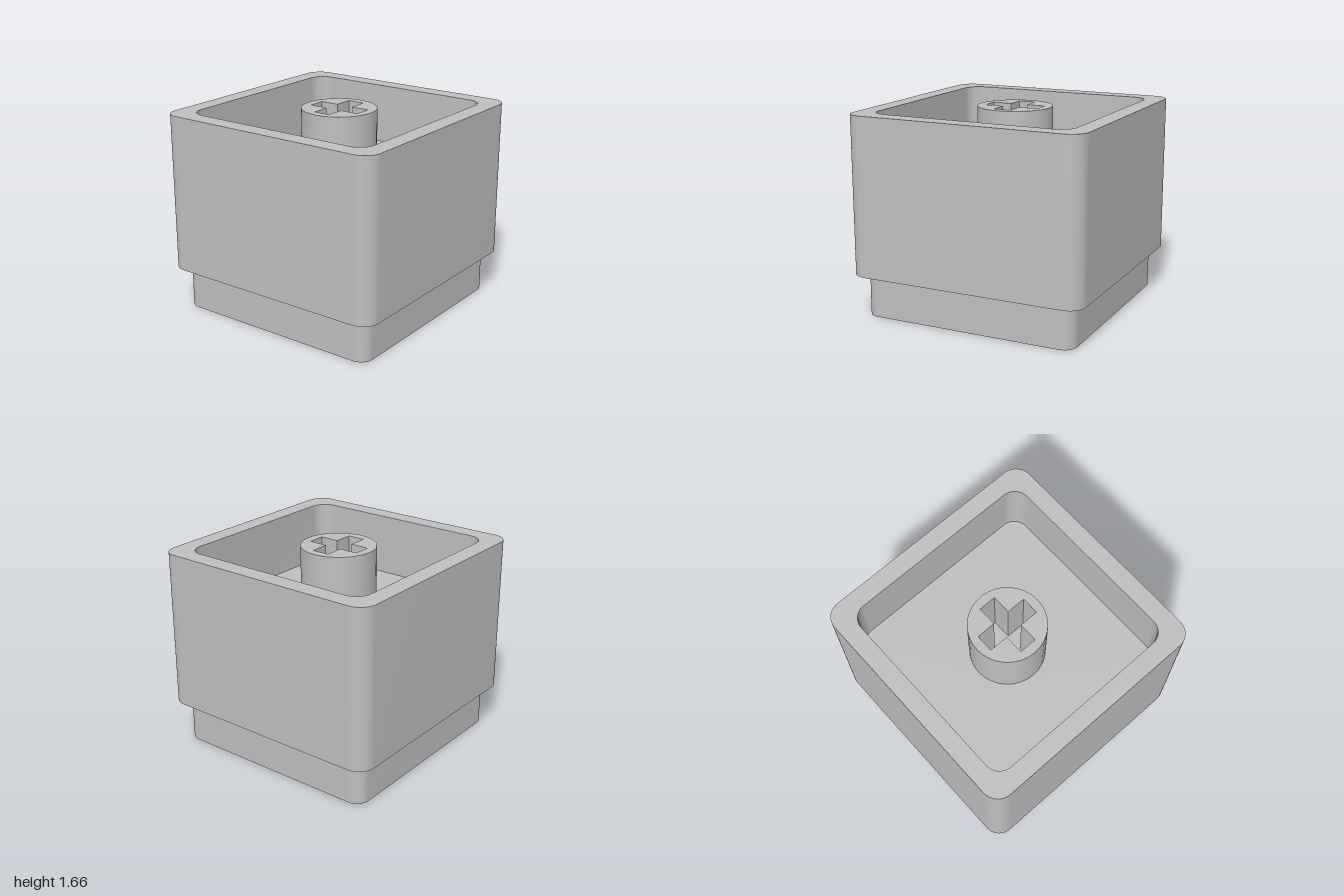
import * as THREE from 'three';
import { mergeGeometries, toCreasedNormals } from 'three/addons/utils/BufferGeometryUtils.js';

const SEG = 16;

// Square outline with rounded corners, counter-clockwise
function roundedSquare(h, r) {
  const s = new THREE.Shape(), c = h - r;
  s.moveTo(-c, -h);
  s.lineTo(c, -h);
  s.absarc(c, -c, r, -Math.PI / 2, 0);
  s.absarc(c, c, r, 0, Math.PI / 2);
  s.absarc(-c, c, r, Math.PI / 2, Math.PI);
  s.absarc(-c, -c, r, Math.PI, Math.PI * 1.5);
  return s;
}

function circle(r) {
  return new THREE.Shape().absarc(0, 0, r, 0, Math.PI * 2);
}

// Plus-shaped outline, one arm per quarter turn
function cross(half, arm) {
  const pts = [];
  for (let i = 0; i < 4; i++) {
    for (const [x, y] of [[half, -arm], [half, arm], [arm, arm]]) {
      pts.push(new THREE.Vector2(x, y).rotateAround(new THREE.Vector2(), i * Math.PI / 2));
    }
  }
  return new THREE.Shape(pts);
}

// Horizontal face, facing up or down, with an optional hole
function cap(outline, y, hole = null, up = true) {
  const s = outline.clone();
  if (hole) s.holes.push(hole);
  const g = new THREE.ShapeGeometry(s, SEG).toNonIndexed();
  g.rotateX(up ? -Math.PI / 2 : Math.PI / 2).translate(0, y, 0);
  g.deleteAttribute('uv');
  return g;
}

// Vertical wall along an outline, facing outward or inward
function wall(outline, y0, y1, inward = false) {
  const pts = outline.getPoints(SEG), pos = [];
  pts.forEach((a, i) => {
    const b = pts[(i + 1) % pts.length];
    if (a.distanceTo(b) < 1e-5) return;
    const [p, q] = inward ? [b, a] : [a, b];
    pos.push(p.x, y0, -p.y, q.x, y0, -q.y, q.x, y1, -q.y);
    pos.push(p.x, y0, -p.y, q.x, y1, -q.y, p.x, y1, -p.y);
  });
  const g = new THREE.BufferGeometry();
  g.setAttribute('position', new THREE.Float32BufferAttribute(pos, 3));
  return toCreasedNormals(g, 0.6);
}

export function createModel() {
  const model = new THREE.Group();
  const grey = new THREE.MeshStandardMaterial({ color: 0xbfbfbf });
  grey.name = 'grey';

  const add = (name, faces) => {
    const mesh = new THREE.Mesh(mergeGeometries(faces), grey);
    mesh.name = name;
    model.add(mesh);
  };

  const step = 0.35, floor = 1.15, top = 1.66;
  const plinth = roundedSquare(0.91, 0.11);
  const outer = roundedSquare(1, 0.14);
  const inner = roundedSquare(0.85, 0.13);
  const post = circle(0.31);
  const slot = cross(0.233, 0.073);

  // Narrower foot
  add('base', [cap(plinth, 0, null, false), wall(plinth, 0, step)]);

  // Overhanging body with an open recess
  add('body', [
    cap(outer, step, plinth, false),
    wall(outer, step, top),
    cap(outer, top, inner),
    wall(inner, floor, top, true),
  ]);
  add('recessFloor', [cap(inner, floor, post)]);

  // Round post with a cross-shaped socket
  add('stem', [wall(post, floor, top), cap(post, top, slot)]);
  add('crossSocket', [wall(slot, floor, top, true), cap(slot, floor)]);

  return model;
}
